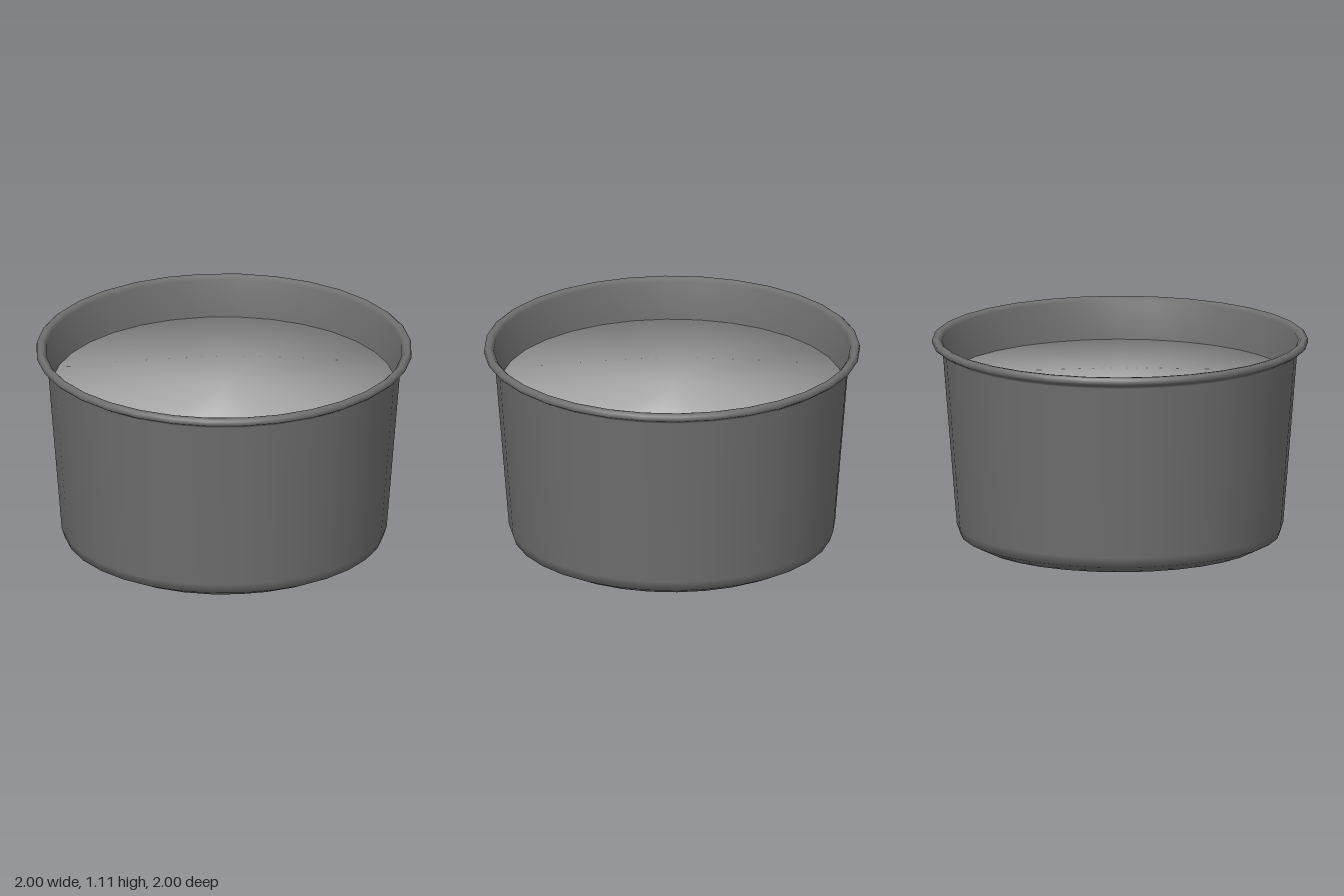
import * as THREE from 'three';
import { mergeVertices } from 'three/addons/utils/BufferGeometryUtils.js';

const SEGMENTS = 32;

function addPart(group, name, geometry, color) {
  const material = new THREE.MeshStandardMaterial({ color, side: THREE.DoubleSide });
  const mesh = new THREE.Mesh(geometry, material);
  mesh.name = name;
  group.add(mesh);
}

export function createModel() {
  const group = new THREE.Group();
  group.name = 'filledPot';

  // Pot: one continuous profile, radius and height
  const profile = [
    [0, 0], [0.76, 0], [0.85, 0.045], [0.868, 0.1], // foot
    [0.943, 1.04], [0.96, 1.053], [0.99, 1.07], // outer wall and underside of the lip
    [1, 1.08], [0.998, 1.1], [0.985, 1.11], [0.965, 1.108], [0.948, 1.09], // lip
    [0.91, 0.87], [0.84, 0.1], [0.8, 0.04], [0, 0.04], // inner wall and floor
  ].map(([r, y]) => new THREE.Vector2(r, y));
  addPart(group, 'pot', new THREE.LatheGeometry(profile, SEGMENTS), 0x6f6f6f);

  // Filling, with soft normals shared across its top edge
  const cylinder = new THREE.CylinderGeometry(0.914, 0.835, 0.84, SEGMENTS);
  cylinder.deleteAttribute('normal');
  cylinder.deleteAttribute('uv');
  const filling = mergeVertices(cylinder);
  filling.computeVertexNormals();
  filling.translate(0, 0.47, 0);
  addPart(group, 'filling', filling, 0xacacac);

  return group;
}
